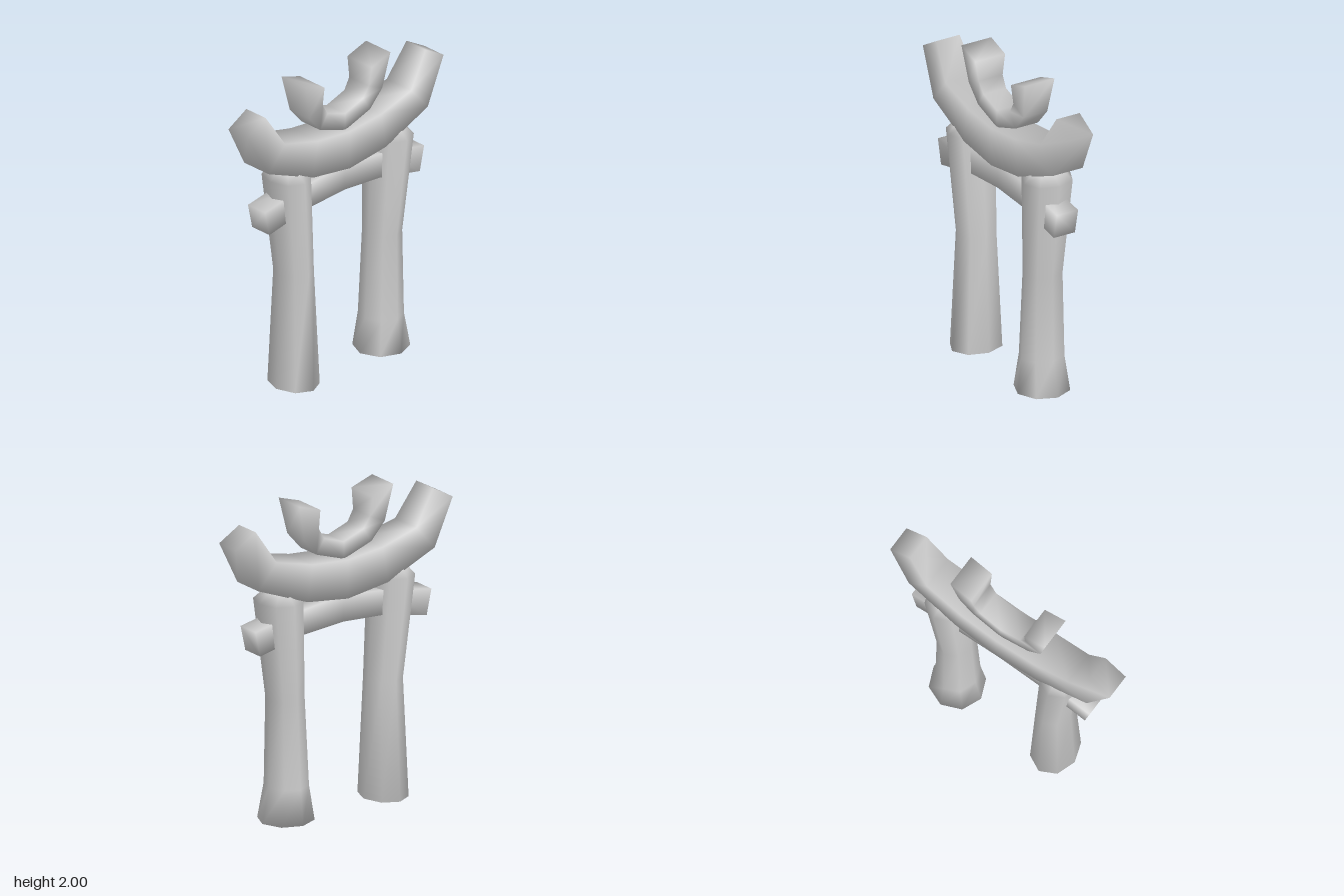
import * as THREE from 'three';

const material = new THREE.MeshStandardMaterial({ color: 0xcccccc });

// Joins rings of points into a closed, smooth-shaded solid.
function loft(name, rings) {
  const n = rings[0].length, last = rings.length - 1;
  const index = [];
  for (let i = 0; i < last; i++) {
    for (let j = 0; j < n; j++) {
      const k = (j + 1) % n;
      const a = i * n + j, b = i * n + k, c = b + n, d = a + n;
      index.push(a, b, c, a, c, d);
    }
  }
  for (let j = 1; j < n - 1; j++) {
    index.push(0, j + 1, j);
    index.push(last * n, last * n + j, last * n + j + 1);
  }
  const geometry = new THREE.BufferGeometry();
  geometry.setAttribute('position', new THREE.Float32BufferAttribute(rings.flat(2), 3));
  geometry.setIndex(index);
  geometry.computeVertexNormals();
  const mesh = new THREE.Mesh(geometry, material);
  mesh.name = name;
  return mesh;
}

// Square-section beam, mirrored about z = 0.
// Each station: [top z, top y, bottom z, bottom y, half width], from the middle outwards.
function beam(name, half) {
  const ring = ([zt, yt, zb, yb, w], s) =>
    [[w, yt, s * zt], [-w, yt, s * zt], [-w, yb, s * zb], [w, yb, s * zb]];
  const back = half.slice(1).reverse().map(p => ring(p, -1));
  return loft(name, [...back, ...half.map(p => ring(p, 1))]);
}

// Eight-sided post. Each station: [y, centre z, x radius, z radius].
function post(name, stations, turn) {
  const rings = stations.map(([y, z, rx, rz]) =>
    Array.from({ length: 8 }, (_, j) => {
      const a = (j / 8) * Math.PI * 2 + turn;
      return [rx * Math.cos(a), y, z - rz * Math.sin(a)];
    }));
  const mesh = loft(name, rings);
  return mesh;
}

export function createModel() {
  const gate = new THREE.Group();
  gate.name = 'gate';

  // Posts, waisted in the middle with a worn, rounded top
  gate.add(post('frontPost', [
    [0, 0.35, 0.172, 0.142],
    [0.75, 0.35, 0.132, 0.112],
    [1.40, 0.41, 0.165, 0.132],
    [1.45, 0.415, 0.11, 0.08],
  ], 0));
  gate.add(post('backPost', [
    [0, -0.373, 0.172, 0.175],
    [0.22, -0.37, 0.145, 0.131],
    [0.77, -0.38, 0.128, 0.113],
    [1.40, -0.43, 0.165, 0.143],
    [1.455, -0.43, 0.11, 0.08],
  ], 0));

  // Arched tie beam passing through both posts
  gate.add(beam('tieBeam', [
    [0, 1.36, 0, 1.19, 0.075],
    [0.31, 1.325, 0.29, 1.17, 0.075],
    [0.655, 1.26, 0.62, 1.10, 0.075],
  ]));

  // Main lintel with upturned ends
  gate.add(beam('topLintel', [
    [0, 1.595, 0, 1.35, 0.122],
    [0.26, 1.62, 0.30, 1.39, 0.12],
    [0.52, 1.685, 0.655, 1.53, 0.107],
    [0.66, 1.90, 0.808, 1.815, 0.083],
  ]));

  // Crescent ornament on the lintel
  gate.add(beam('crescent', [
    [0, 1.70, 0, 1.59, 0.08],
    [0.145, 1.75, 0.205, 1.66, 0.08],
    [0.19, 1.82, 0.30, 1.77, 0.085],
    [0.195, 1.95, 0.348, 2.0, 0.106],
  ]));

  return gate;
}
